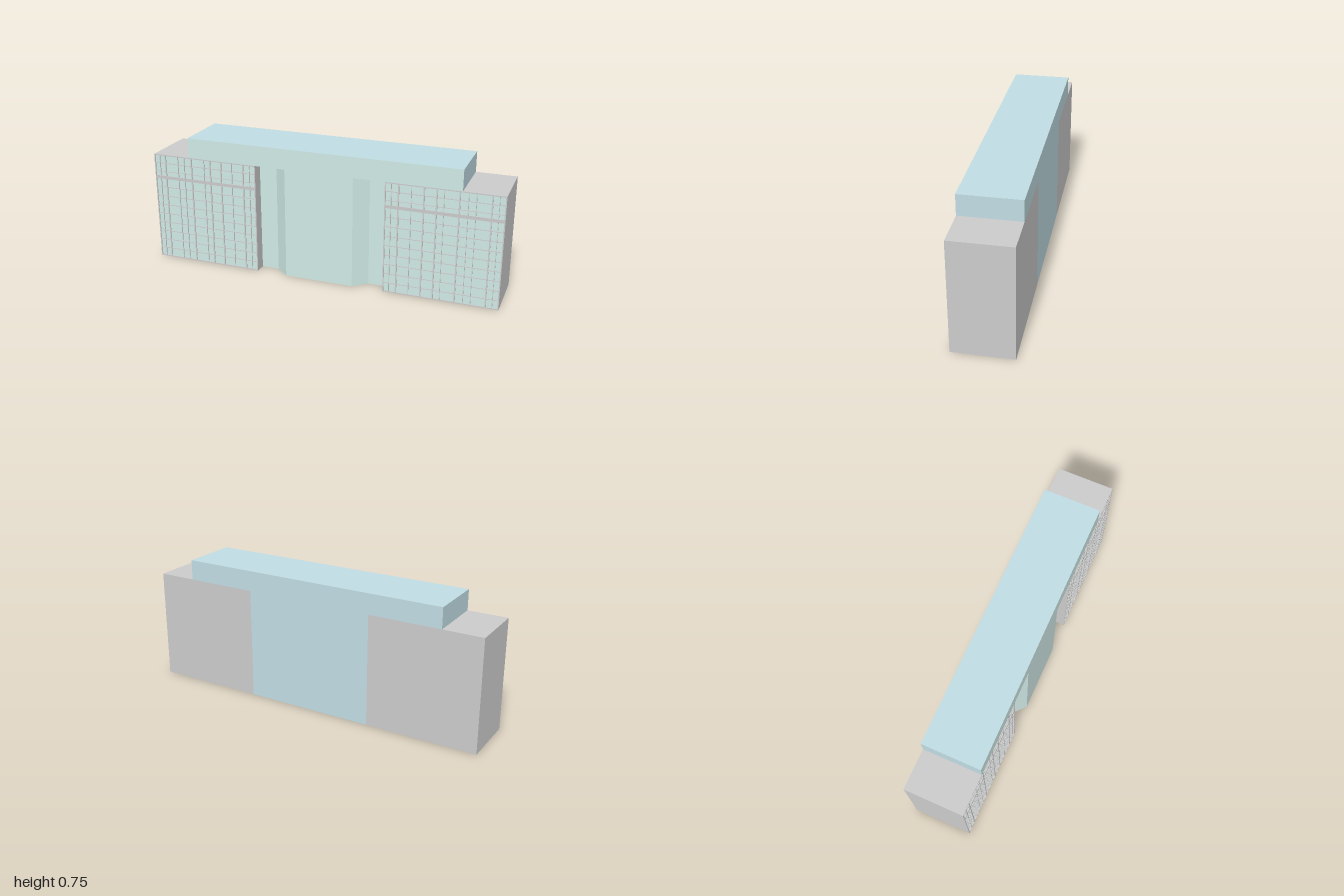
import * as THREE from 'three';
import { mergeGeometries } from 'three/addons/utils/BufferGeometryUtils.js';

const grey = new THREE.MeshStandardMaterial({ color: 0xcccccc });
const blue = new THREE.MeshStandardMaterial({ color: 0xc0dce3 });
const glass = new THREE.MeshStandardMaterial({ color: 0xd0eae6 });
// Box face order: +x, -x, +y, -y, +z, -z; only the front is glazed
const glazedFront = [blue, blue, blue, blue, glass, blue];

const H = 0.63;         // main roof height
const TOP = 0.745;      // upper storey height
const D = 0.163;        // half depth
const INNER = 0.37;     // inner edge of the wings
const RECESS = 0.098;   // recessed wall beside the bay
const PANE = D - 0.005; // window plane

function boxBetween(x0, x1, y0, y1, z0, z1) {
  return new THREE.BoxGeometry(x1 - x0, y1 - y0, z1 - z0)
    .translate((x0 + x1) / 2, (y0 + y1) / 2, (z0 + z1) / 2);
}

function named(name, geometry, material) {
  const mesh = new THREE.Mesh(geometry, material);
  mesh.name = name;
  return mesh;
}

// Wing at +x (side 1) or -x (side -1) with a window grid on its front
function createWing(side) {
  const wing = new THREE.Group();
  wing.name = side > 0 ? 'leftWing' : 'rightWing';
  const span = (a, b) => (side > 0 ? [a, b] : [-b, -a]);
  wing.add(named('wingBody', boxBetween(...span(INNER, 1), 0, H, -D, PANE - 0.001), grey));

  const width = 1 - INNER;
  const panes = new THREE.PlaneGeometry(width, H).translate(side * (INNER + width / 2), H / 2, PANE);
  wing.add(named('windowPanes', panes, glass));

  const bars = [];
  const column = (x, w) => bars.push(boxBetween(...span(x - w / 2, x + w / 2), 0, H, PANE - 0.001, D));
  const row = (y, h) => bars.push(boxBetween(...span(INNER, 1), y - h / 2, y + h / 2, PANE - 0.001, D - 0.0005));

  // Outer frame
  column(INNER + 0.003, 0.006);
  column(1 - 0.003, 0.006);
  row(0.003, 0.006);
  row(H - 0.003, 0.006);
  // Mullions, measured in from the outer end: wide ones and thin ones
  for (const o of [0.07, 0.235, 0.353, 0.42, 0.556]) column(1 - o, 0.007);
  for (const o of [0.035, 0.15, 0.19, 0.315, 0.487, 0.595]) column(1 - o, 0.003);
  // Floor lines, with a heavier band under the top floors
  for (let i = 1; i <= 8; i++) row(i * 0.0545, 0.004);
  row(0.495, 0.018);
  row(0.53, 0.003);
  row(0.58, 0.004);

  wing.add(named('windowFrame', mergeGeometries(bars), grey));
  return wing;
}

export function createModel() {
  const model = new THREE.Group();
  model.name = 'building';

  model.add(createWing(1), createWing(-1));

  // Centre section between the wings, set back at the front
  model.add(named('centreBlock', boxBetween(-INNER, INNER, 0, H, -D, RECESS), glazedFront));

  // Projecting entrance bay with splayed sides (plan drawn with y = -z)
  const plan = new THREE.Shape([
    new THREE.Vector2(-0.27, -RECESS),
    new THREE.Vector2(-0.195, -D),
    new THREE.Vector2(0.195, -D),
    new THREE.Vector2(0.27, -RECESS),
  ]);
  const bay = new THREE.ExtrudeGeometry(plan, { depth: H, bevelEnabled: false }).rotateX(-Math.PI / 2);
  model.add(named('entranceBay', bay, [blue, glass]));

  // Upper storey across the middle
  model.add(named('upperStorey', boxBetween(-0.778, 0.778, H, TOP, -D, D), glazedFront));

  return model;
}
